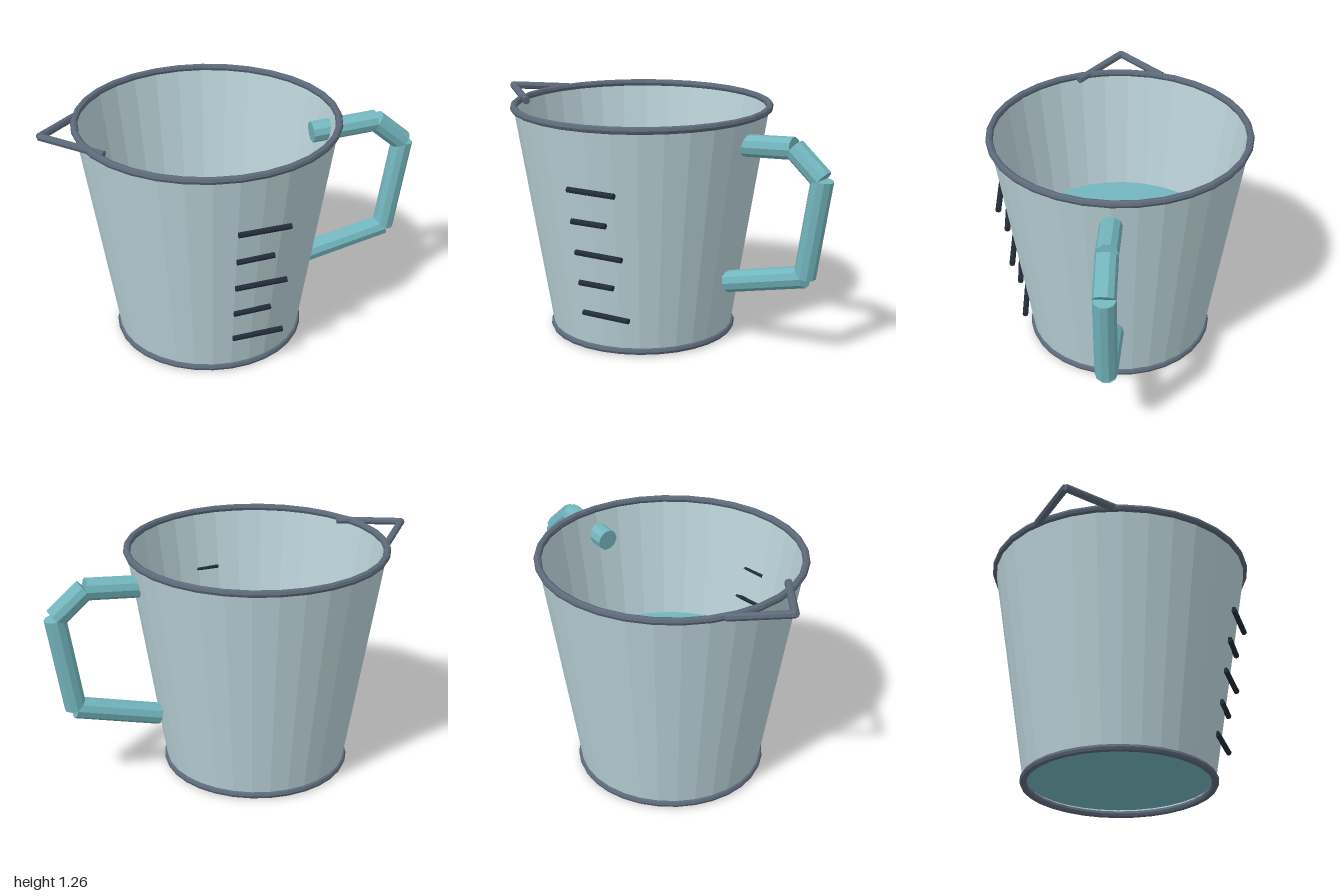
import * as THREE from 'three';

const flat = (color, name, side = THREE.FrontSide) => {
  const m = new THREE.MeshStandardMaterial({ color, flatShading: true, side });
  m.name = name;
  return m;
};

export function createModel() {
  const group = new THREE.Group();
  const glass = flat(0xbad2d8, 'pale glass', THREE.DoubleSide);
  const teal = flat(0x73b6be, 'teal');
  const slate = flat(0x5c6979, 'slate trim');
  const ink = flat(0x222c3a, 'dark marking');
  const cx = -0.13; // axis of the cup

  const add = (name, geometry, material) => {
    const mesh = new THREE.Mesh(geometry, material);
    mesh.name = name;
    group.add(mesh);
    return mesh;
  };

  // Straight rod between two points
  const rod = (name, a, b, radius, sides, material) => {
    const from = new THREE.Vector3(...a);
    const dir = new THREE.Vector3(...b).sub(from);
    const mesh = add(name, new THREE.CylinderGeometry(radius, radius, dir.length(), sides), material);
    mesh.position.copy(from).addScaledVector(dir, 0.5);
    mesh.quaternion.setFromUnitVectors(new THREE.Vector3(0, 1, 0), dir.normalize());
  };

  // Open tapered wall
  add('cupWall', new THREE.CylinderGeometry(0.671, 0.484, 1.197, 32, 1, true), glass)
    .position.set(cx, 0.6185, 0);

  // Contents, seen from above and through the open base
  add('liquid', new THREE.CylinderGeometry(0.567, 0.482, 0.515, 32), teal)
    .position.set(cx, 0.3025, 0);

  // Rolled rings at the lip and foot
  for (const [name, radius, y] of [['lipRing', 0.671, 1.217], ['footRing', 0.483, 0.02]]) {
    const ring = add(name, new THREE.TorusGeometry(radius, 0.019, 8, 32), slate);
    ring.rotation.x = -Math.PI / 2;
    ring.position.set(cx, y, 0);
  }

  // V-shaped pouring spout
  const tip = [-0.98, 1.242, 0.05];
  rod('spoutFront', tip, [-0.7, 1.215, 0.265], 0.02, 8, slate);
  rod('spoutBack', tip, [-0.778, 1.217, -0.192], 0.02, 8, slate);

  // Angular handle made of straight pieces
  const path = [[0.43, 1.073], [0.783, 1.099], [0.942, 0.963], [0.863, 0.455], [0.415, 0.343]];
  for (let i = 0; i < path.length - 1; i++) {
    rod('handlePiece' + (i + 1), [...path[i], 0], [...path[i + 1], 0], 0.057, 10, teal);
  }

  // Measuring marks, alternately long and short
  for (let i = 0; i < 5; i++) {
    const y = 0.215 + i * 0.169;
    const z = 0.509 + i * 0.0275;
    rod('measureMark' + (i + 1), [-0.13, y, z + 0.011], [i % 2 ? 0.065 : 0.14, y, z - 0.011], 0.015, 8, ink);
  }

  return group;
}
